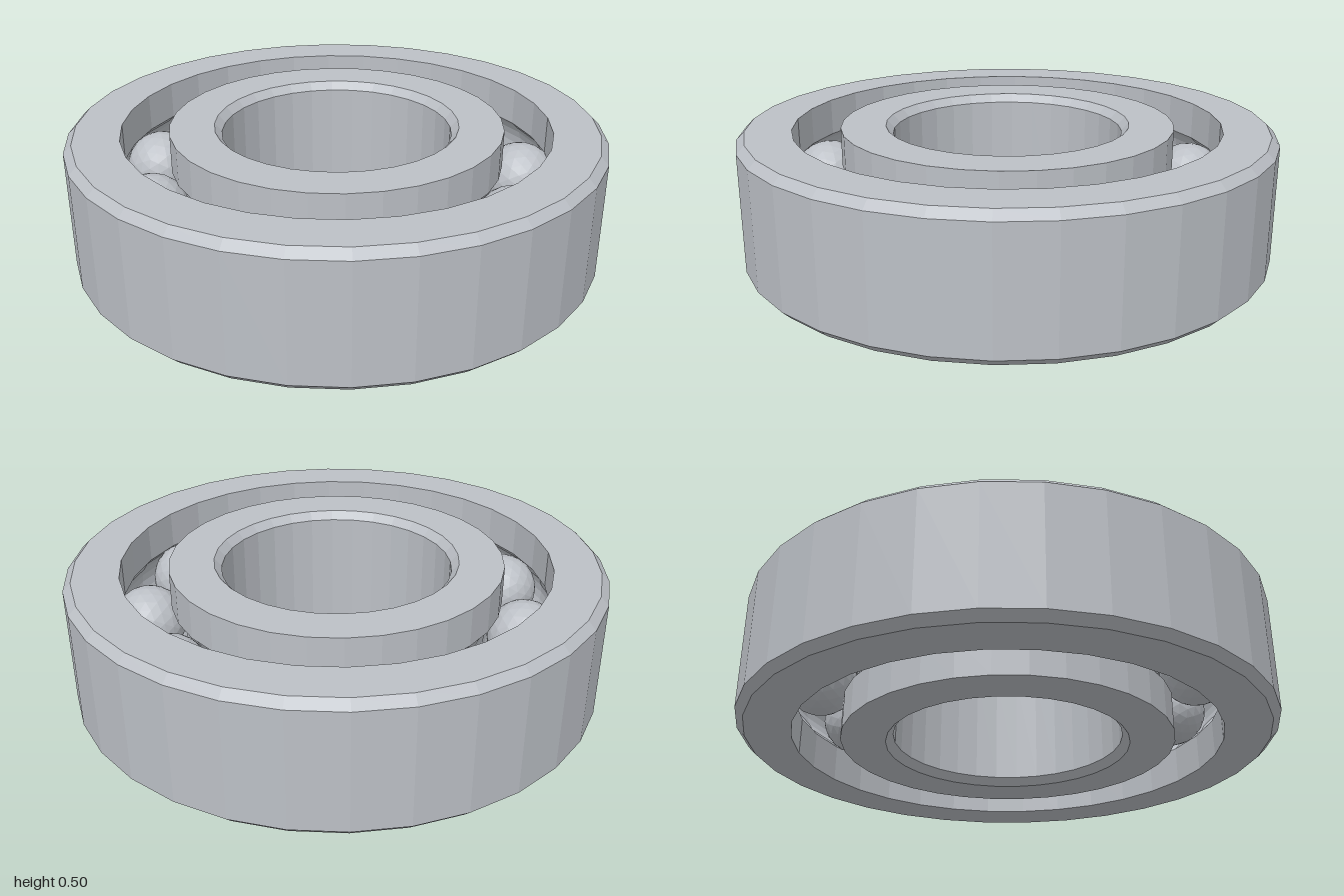
import * as THREE from 'three';

const SEGMENTS = 32, HEIGHT = 0.5, CHAMFER = 0.03;
const BALLS = 11, BALL_RADIUS = 0.137, PITCH = 0.713, GROOVE = 0.139;

// Faceted ring turned from a closed profile listed counter-clockwise in (radius, y)
function turn(profile) {
  const points = [...profile, profile[0]].map(([r, y]) => new THREE.Vector2(r, y));
  const geometry = new THREE.LatheGeometry(points, SEGMENTS).toNonIndexed();
  geometry.computeVertexNormals();
  return geometry;
}

// Ball groove arc where the cylinder of the given radius meets the ball track
function groove(radius, steps = 8) {
  const side = Math.sign(radius - PITCH);
  const half = Math.acos(Math.abs(radius - PITCH) / GROOVE);
  return Array.from({ length: steps + 1 }, (_, i) => {
    const a = half * (1 - (2 * i) / steps) * side;
    return [PITCH + side * GROOVE * Math.cos(a), HEIGHT / 2 + GROOVE * Math.sin(a)];
  });
}

export function createModel() {
  const model = new THREE.Group();
  model.name = 'ballBearing';
  const steel = new THREE.MeshStandardMaterial({ color: 0xbcc0c6 });
  steel.name = 'steel';

  const add = (name, geometry, parent = model) => {
    const mesh = new THREE.Mesh(geometry, steel);
    mesh.name = name;
    parent.add(mesh);
    return mesh;
  };

  // Outer ring: chamfered outside, grooved inside
  add('outerRing', turn([
    [0.8, 0], [1 - CHAMFER, 0], [1, CHAMFER],
    [1, HEIGHT - CHAMFER], [1 - CHAMFER, HEIGHT], [0.8, HEIGHT],
    ...groove(0.8),
  ]));

  // Inner ring: grooved outside, chamfered bore
  add('innerRing', turn([
    [0.457, 0], [0.623, 0],
    ...groove(0.623),
    [0.623, HEIGHT], [0.457, HEIGHT],
    [0.43, HEIGHT - CHAMFER], [0.43, CHAMFER],
  ]));

  // Balls spaced evenly around the track
  const balls = new THREE.Group();
  balls.name = 'balls';
  model.add(balls);
  const ballGeometry = new THREE.IcosahedronGeometry(BALL_RADIUS, 3);
  ballGeometry.computeVertexNormals();
  for (let i = 0; i < BALLS; i++) {
    const a = (i / BALLS) * Math.PI * 2;
    const ball = add('ball', ballGeometry, balls);
    ball.position.set(PITCH * Math.cos(a), HEIGHT / 2, PITCH * Math.sin(a));
    ball.rotation.y = -a;
  }
  return model;
}
